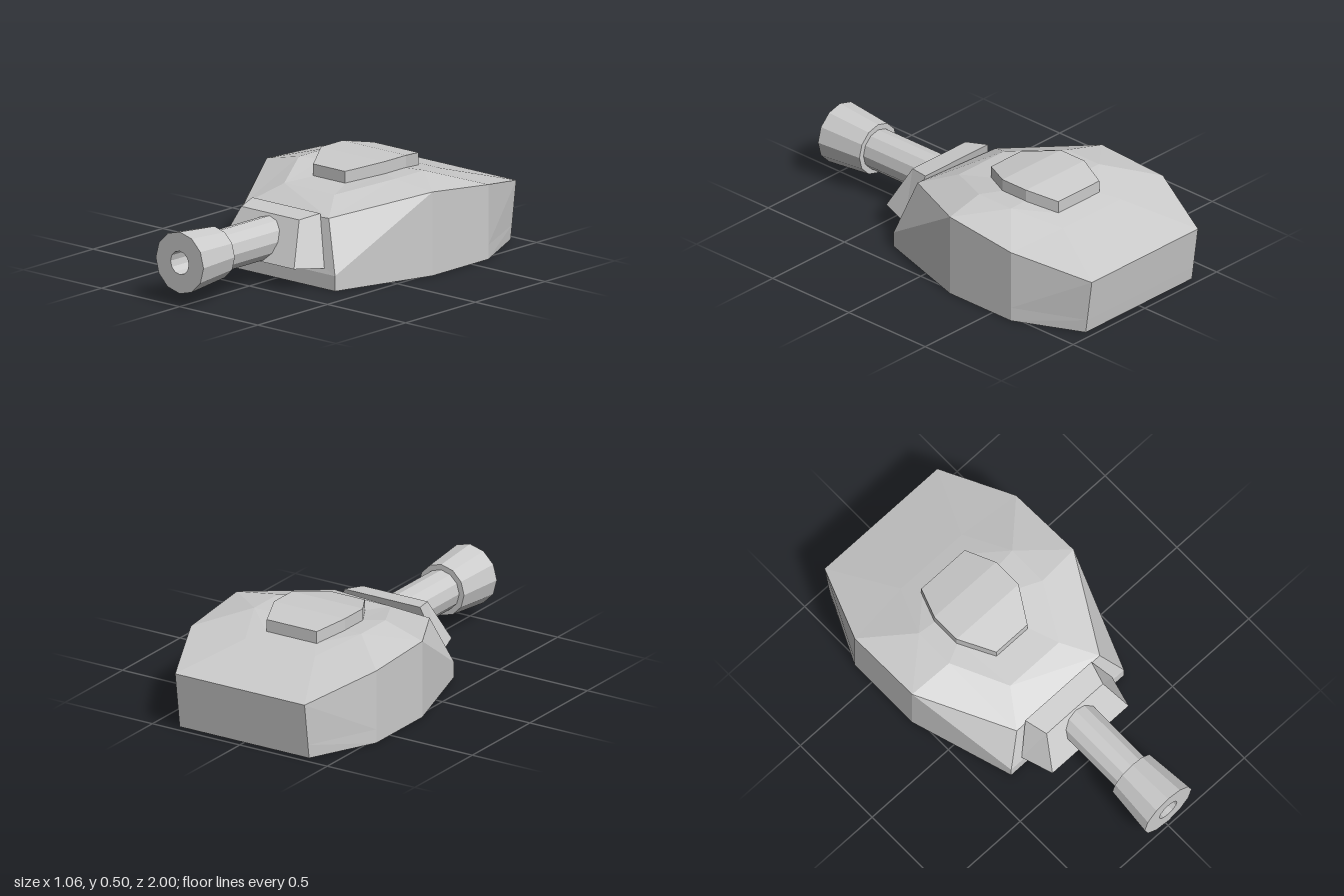
import * as THREE from 'three';

const material = new THREE.MeshStandardMaterial({ color: 0xcccccc, flatShading: true });

// Half outline [x, y, z, optional y on the other side], mirrored into a closed ring
function ring(half) {
  const other = half.map(([x, y, z, y2 = y]) => [-x, y2, z]).reverse();
  return [...half.map(([x, y, z]) => [x, y, z]), ...other];
}

// Skin a stack of rings and close both ends with strips across the middle
function loft(name, halves) {
  const rings = halves.map(ring);
  const n = rings[0].length;
  const index = [];
  for (let r = 0; r < rings.length - 1; r++) {
    for (let i = 0; i < n; i++) {
      const j = (i + 1) % n;
      const a = r * n + i, b = r * n + j, c = b + n, d = a + n;
      // mirrored diagonals keep both sides alike
      if (i < n / 2) index.push(a, b, c, a, c, d);
      else index.push(a, b, d, b, c, d);
    }
  }
  const top = (rings.length - 1) * n;
  for (let k = 0; k < n / 2 - 1; k++) {
    const a = n - 1 - k, b = k, c = k + 1, d = n - 2 - k;
    index.push(top + a, top + b, top + c, top + a, top + c, top + d);
    index.push(a, c, b, a, d, c);
  }
  const geometry = new THREE.BufferGeometry();
  geometry.setAttribute('position', new THREE.Float32BufferAttribute(rings.flat(2), 3));
  geometry.setIndex(index);
  geometry.computeVertexNormals();
  const mesh = new THREE.Mesh(geometry, material);
  mesh.name = name;
  return mesh;
}

// Twelve-sided turned part along z, profile points are [radius, z]
function turned(name, profile) {
  const points = profile.map(([r, z]) => new THREE.Vector2(r, z));
  const geometry = new THREE.LatheGeometry(points, 12);
  geometry.rotateX(Math.PI / 2);
  const mesh = new THREE.Mesh(geometry, material);
  mesh.name = name;
  mesh.position.y = 0.217;
  return mesh;
}

export function createModel() {
  const group = new THREE.Group();
  group.name = 'turret';

  // Faceted body: floor, skirt, rim, roof shoulder
  group.add(loft('turretBody', [
    [[0.37, 0, 0.3], [0.53, 0, -0.22], [0.53, 0, -0.62], [0.37, 0, -0.96]],
    [[0.37, 0.075, 0.3], [0.53, 0.07, -0.22], [0.53, 0.07, -0.62], [0.37, 0.07, -0.97]],
    [[0.272, 0.33, 0.235, 0.303], [0.53, 0.415, -0.22, 0.39], [0.53, 0.37, -0.62], [0.37, 0.285, -1]],
    [[0.16, 0.393, 0.07], [0.306, 0.443, -0.2], [0.306, 0.443, -0.41], [0.2, 0.385, -0.65]],
    [[0.1, 0.408, -0.08], [0.2, 0.438, -0.25], [0.2, 0.438, -0.4], [0.14, 0.408, -0.56]],
  ]));

  // Raised hatch with a folded top
  const hatch = (dy) => [
    [0.102, 0.405 + dy, -0.08], [0.203, 0.437 + dy, -0.25],
    [0.203, 0.437 + dy, -0.405], [0.143, 0.408 + dy, -0.56],
  ];
  const roofHatch = loft('roofHatch', [hatch(-0.01), hatch(0.061)]);
  roofHatch.position.x = -0.007;
  group.add(roofHatch);

  // Sloped gun shield, skinned from back to front
  group.add(loft('gunShield', [
    [[0.297, 0.1, 0.295], [0.217, 0.345, 0.235]],
    [[0.25, 0.12, 0.46], [0.185, 0.33, 0.35]],
  ]));

  // Barrel and flared, bored muzzle
  group.add(turned('barrel', [[0, 0.3], [0.102, 0.3], [0.102, 0.76]]));
  group.add(turned('muzzle', [
    [0.095, 0.75], [0.13, 0.75], [0.153, 1], [0.058, 1], [0.056, 0.8], [0, 0.8],
  ]));

  return group;
}
